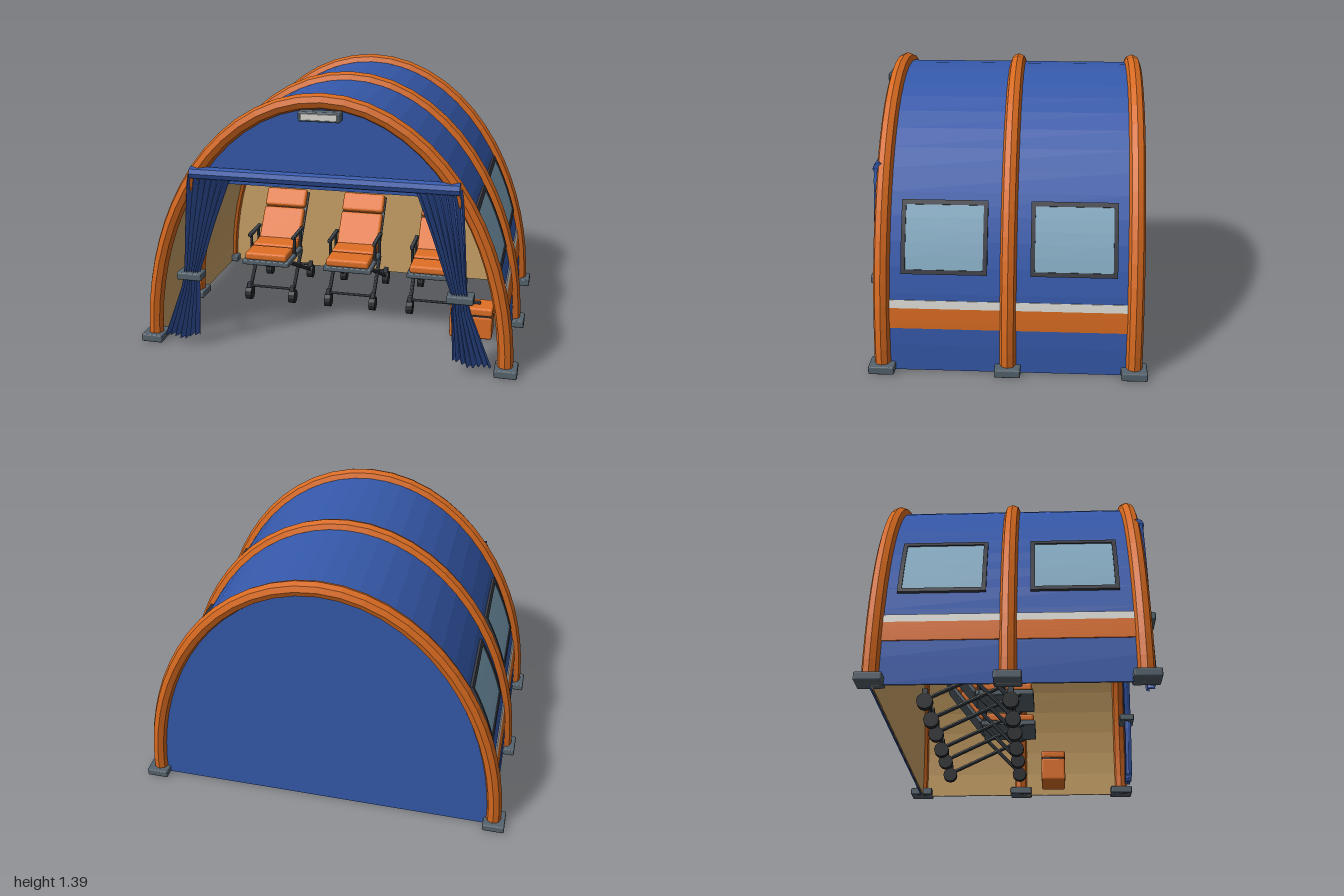
import * as THREE from 'three';
import { RoundedBoxGeometry } from 'three/addons/geometries/RoundedBoxGeometry.js';
import { ParametricGeometry } from 'three/addons/geometries/ParametricGeometry.js';

const A = 0.938, B = 1.35;          // arch half-width and height
const RIB_Z = [0.617, 0, -0.617];

function makeMaterial(name, color, extra = {}) {
  const m = new THREE.MeshStandardMaterial({ color, flatShading: true, ...extra });
  m.name = name;
  return m;
}

// Point on the arch at angle t, pushed outward by off
function archPoint(t, off = 0) {
  const n = new THREE.Vector2(B * Math.cos(t), A * Math.sin(t)).normalize();
  return new THREE.Vector2(A * Math.cos(t) + n.x * off, Math.max(0, B * Math.sin(t) + n.y * off));
}

// Curved slab following the arch between two angles, extruded along z
function archSlab(t0, t1, off0, off1, z0, z1, segments) {
  const inner = [], outer = [];
  for (let i = 0; i <= segments; i++) {
    const t = t0 + (t1 - t0) * i / segments;
    outer.push(archPoint(t, off1));
    inner.unshift(archPoint(t, off0));
  }
  const g = new THREE.ExtrudeGeometry(new THREE.Shape([...outer, ...inner]), { depth: z1 - z0, bevelEnabled: false });
  return g.translate(0, 0, z0);
}

// Flat wall filling the arch above height y0
function archWall(y0, z0, depth, off) {
  const t0 = Math.asin(y0 / B), pts = [];
  for (let i = 0; i <= 32; i++) pts.push(archPoint(t0 + (Math.PI - 2 * t0) * i / 32, off));
  return new THREE.ExtrudeGeometry(new THREE.Shape(pts), { depth, bevelEnabled: false }).translate(0, 0, z0);
}

function lerpRows(rows, y) {
  let i = 0;
  while (i < rows.length - 2 && y < rows[i + 1][0]) i++;
  const [p, q] = [rows[i], rows[i + 1]];
  const k = (p[0] - y) / (p[0] - q[0]);
  return p.map((v, j) => v + (q[j] - v) * k);
}

export function createModel() {
  const root = new THREE.Group();
  root.name = 'archTent';
  const mat = {
    blue: makeMaterial('blue fabric', 0x3559ab, { side: THREE.DoubleSide }),
    rib: makeMaterial('rib orange', 0xd6691f),
    pad: makeMaterial('cushion orange', 0xe07026),
    tan: makeMaterial('tan lining', 0xcca468),
    white: makeMaterial('off white', 0xdcdad4),
    glass: makeMaterial('window blue', 0x84aac2),
    frame: makeMaterial('window frame', 0x3a3c44),
    grey: makeMaterial('metal grey', 0x56636d),
    dark: makeMaterial('dark metal', 0x3e454c),
    black: makeMaterial('wheel black', 0x26282c),
  };
  const add = (parent, name, geo, material, x = 0, y = 0, z = 0) => {
    const m = new THREE.Mesh(geo, material);
    m.name = name;
    m.position.set(x, y, z);
    parent.add(m);
    return m;
  };
  const box = (w, h, d, r = 0.008) => new RoundedBoxGeometry(w, h, d, 2, r);
  const bar = (parent, name, p, q, r, material) => {
    const a = new THREE.Vector3(...p), b = new THREE.Vector3(...q);
    const m = add(parent, name, new THREE.CylinderGeometry(r, r, a.distanceTo(b), 8), material);
    m.position.copy(a).lerp(b, 0.5);
    m.quaternion.setFromUnitVectors(new THREE.Vector3(0, 1, 0), b.sub(a).normalize());
  };

  // Fabric shell, lining, back wall and front gable
  add(root, 'shell', archSlab(0, Math.PI, -0.005, 0, -0.617, 0.617, 32), mat.blue);
  add(root, 'lining', archSlab(0, Math.PI, -0.011, -0.006, -0.61, 0.61, 32), mat.tan);
  add(root, 'backWall', archWall(0, -0.622, 0.008, -0.006), mat.blue);
  add(root, 'backLining', archWall(0, -0.612, 0.006, -0.012), mat.tan);
  add(root, 'frontGable', archWall(0.905, 0.61, 0.01, -0.006), mat.blue);

  // Ribs standing on foot plates
  const ribPath = new THREE.CatmullRomCurve3(Array.from({ length: 41 }, (_, i) => {
    const p = archPoint(Math.PI * i / 40);
    return new THREE.Vector3(p.x, p.y, 0);
  }));
  for (const z of RIB_Z) {
    add(root, 'rib', new THREE.TubeGeometry(ribPath, 32, 0.04, 8), mat.rib, 0, 0, z);
    for (const s of [-1, 1]) add(root, 'foot', box(0.116, 0.042, 0.128), mat.grey, s * 0.942, 0.021, z);
  }

  // Stripes and windows on both sides
  const sidePatch = (name, s, y0, y1, z0, z1, off0, off1, material) => {
    let [t0, t1] = [Math.asin(y0 / B), Math.asin(y1 / B)];
    if (s < 0) [t0, t1] = [Math.PI - t0, Math.PI - t1];
    add(root, name, archSlab(t0, t1, off0, off1, z0, z1, 5), material);
  };
  for (const s of [-1, 1]) {
    for (const [z0, z1] of [[0.03, 0.59], [-0.59, -0.03]]) {
      sidePatch('orangeStripe', s, 0.22, 0.32, z0, z1, -0.002, 0.004, mat.rib);
      sidePatch('whiteStripe', s, 0.32, 0.36, z0, z1, -0.002, 0.004, mat.white);
    }
    for (const zc of [0.312, -0.317]) {
      const [y0, y1, z0, z1, e] = [0.487, 0.822, zc - 0.21, zc + 0.21, 0.021];
      sidePatch('windowGlass', s, y0 + e, y1 - e, z0 + e, z1 - e, 0, 0.008, mat.glass);
      sidePatch('windowFrame', s, y0, y0 + e, z0, z1, 0, 0.014, mat.frame);
      sidePatch('windowFrame', s, y1 - e, y1, z0, z1, 0, 0.014, mat.frame);
      sidePatch('windowFrame', s, y0 + e, y1 - e, z0, z0 + e, 0, 0.014, mat.frame);
      sidePatch('windowFrame', s, y0 + e, y1 - e, z1 - e, z1, 0, 0.014, mat.frame);
    }
  }

  // Header roll and entrance lamp
  bar(root, 'headerRoll', [-0.685, 0.957, 0.643], [0.685, 0.957, 0.643], 0.033, mat.blue);
  add(root, 'lampBody', box(0.21, 0.05, 0.06), mat.grey, 0, 1.284, 0.658);
  add(root, 'lampPanel', box(0.18, 0.032, 0.008, 0.003), mat.white, 0, 1.284, 0.688);

  // Pleated curtains gathered by a tie: height, outer x, inner x, z
  const rows = [
    [0.96, 0.695, 0.46, 0.65], [0.90, 0.705, 0.485, 0.652], [0.70, 0.72, 0.56, 0.656],
    [0.46, 0.735, 0.64, 0.658], [0.40, 0.742, 0.665, 0.658], [0.33, 0.76, 0.66, 0.658], [0.045, 0.87, 0.675, 0.652],
  ];
  for (const s of [-1, 1]) {
    const cloth = new ParametricGeometry((u, v, p) => {
      const y = 0.96 - 0.915 * v;
      const [, xo, xi, z] = lerpRows(rows, y);
      p.set(s * (xo + (xi - xo) * u), y + 0.02 * v * u * Math.sin(u * 9), z + 0.018 * Math.sin(u * Math.PI * 14));
    }, 56, 16);
    add(root, 'curtain', cloth, mat.blue);
    add(root, 'curtainTie', box(0.134, 0.04, 0.085), mat.grey, s * 0.705, 0.403, 0.652);
  }

  // Reclining wheeled seats
  const wheel = new THREE.CylinderGeometry(0.04, 0.04, 0.036, 12).rotateZ(Math.PI / 2);
  for (const x of [-0.482, 0, 0.482]) {
    const seat = new THREE.Group();
    seat.name = 'wheeledSeat';
    seat.position.x = x;
    root.add(seat);
    add(seat, 'seatFrame', box(0.28, 0.03, 0.31), mat.grey, 0, 0.27, -0.055);
    add(seat, 'seatCushion', box(0.25, 0.045, 0.14, 0.014), mat.pad, 0, 0.305, 0.022);
    add(seat, 'seatCushion', box(0.25, 0.05, 0.135, 0.014), mat.pad, 0, 0.309, -0.122);

    const back = new THREE.Group();
    back.name = 'backrest';
    back.position.set(0, 0.285, -0.2);
    back.rotation.x = -0.66;
    seat.add(back);
    add(back, 'backBoard', box(0.26, 0.35, 0.02), mat.grey, 0, 0.175, -0.012);
    add(back, 'backCushion', box(0.25, 0.215, 0.045, 0.014), mat.pad, 0, 0.12, 0.02);
    add(back, 'headCushion', box(0.25, 0.115, 0.045, 0.014), mat.pad, 0, 0.293, 0.02);

    for (const s of [-1, 1]) {
      const lx = s * 0.132;
      // Crossed legs, casters and arm rail
      bar(seat, 'leg', [lx, 0.05, 0], [lx, 0.26, -0.2], 0.011, mat.dark);
      bar(seat, 'leg', [lx, 0.05, -0.41], [lx, 0.26, 0.03], 0.011, mat.dark);
      for (const z of [0, -0.41]) {
        add(seat, 'wheel', wheel, mat.black, lx, 0.04, z);
        add(seat, 'wheelFork', box(0.026, 0.04, 0.03, 0.004), mat.dark, lx, 0.085, z);
      }
      for (const z of [-0.06, -0.19]) bar(seat, 'railPost', [lx, 0.27, z], [lx, 0.39, z], 0.009, mat.dark);
      add(seat, 'armRail', box(0.022, 0.02, 0.2, 0.005), mat.dark, lx, 0.39, -0.125);
    }
    for (const z of [0, -0.41]) bar(seat, 'axleBar', [-0.132, 0.085, z], [0.132, 0.085, z], 0.008, mat.dark);
  }

  // Storage case beside the seats
  add(root, 'caseBase', box(0.23, 0.13, 0.14, 0.012), mat.pad, 0.725, 0.072, 0.2);
  add(root, 'caseLid', box(0.23, 0.045, 0.14, 0.012), mat.pad, 0.725, 0.163, 0.2);
  add(root, 'caseSeam', box(0.22, 0.02, 0.13, 0.004), mat.frame, 0.725, 0.139, 0.2);
  add(root, 'caseHandle', box(0.09, 0.016, 0.02, 0.004), mat.frame, 0.725, 0.192, 0.2);

  return root;
}
